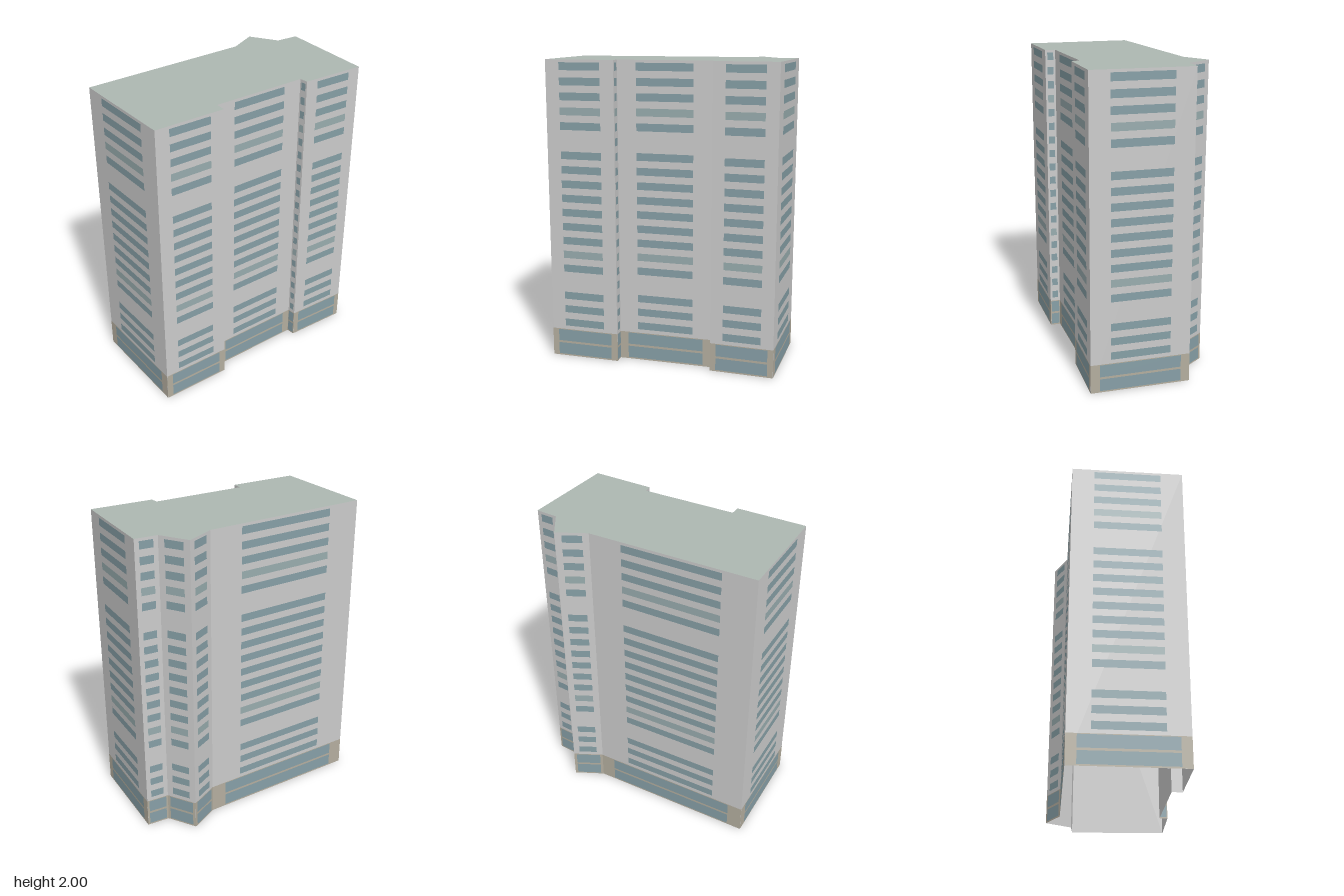
import * as THREE from 'three';
import { mergeGeometries } from 'three/addons/utils/BufferGeometryUtils.js';

const HEIGHT = 2;
const BASE_TOP = 0.19;
const FLOOR_PITCH = 0.0954;

// Footprint corners [x, z], anticlockwise as seen from above
const footprint = [
  [-0.607, 0.586], [-0.165, 0.448], [-0.185, 0.383], [0.412, 0.19], [0.435, 0.24], [0.837, 0.126],
  [0.66, -0.495], [0.517, -0.46], [0.357, -0.59], [0.208, -0.445], [-0.84, -0.09],
];

// Upright rectangle on the wall a-b, from fraction f0 to f1 of its length
function panel([ax, az], [bx, bz], f0, f1, y0, y1, offset = 0) {
  const dx = bx - ax, dz = bz - az;
  const length = Math.hypot(dx, dz);
  const mid = (f0 + f1) / 2;
  return new THREE.PlaneGeometry(length * (f1 - f0), y1 - y0)
    .translate(0, (y0 + y1) / 2, offset)
    .rotateY(Math.atan2(-dz, dx))
    .translate(ax + dx * mid, 0, az + dz * mid);
}

export function createModel() {
  const group = new THREE.Group();
  const add = (name, geometry, color, side = THREE.FrontSide) => {
    const mesh = new THREE.Mesh(geometry, new THREE.MeshStandardMaterial({ color, side }));
    mesh.name = name;
    group.add(mesh);
  };

  const walls = [], base = [], shopGlass = [], windows = [], paleWindows = [];
  footprint.forEach((a, i) => {
    const b = footprint[(i + 1) % footprint.length];
    const narrow = Math.hypot(b[0] - a[0], b[1] - a[1]) < 0.1;
    walls.push(panel(a, b, 0, 1, 0, HEIGHT));

    // Ground storey: surround with two bands of glazing
    base.push(panel(a, b, 0, 1, 0, BASE_TOP, 0.001));
    for (const y of [0.01, 0.105]) {
      shopGlass.push(panel(a, b, 0.09, 0.91, y, y + 0.08, 0.002));
    }

    // Window rows; wide walls have a blank storey every ten floors
    for (let k = 0; k < 19; k++) {
      if (k % 10 === 3 && !narrow) continue;
      const y = 0.24 + k * FLOOR_PITCH;
      const list = k % 10 === 5 ? paleWindows : windows;
      list.push(panel(a, b, 0.2, 0.8, y - 0.025, y + 0.025, 0.001));
    }
  });

  add('walls', mergeGeometries(walls), 0xcccccc, THREE.DoubleSide);
  add('groundStoreySurround', mergeGeometries(base), 0xb4ae9f);
  add('groundStoreyGlass', mergeGeometries(shopGlass), 0x879fa7);
  add('windows', mergeGeometries(windows), 0x869fa6);
  add('paleWindows', mergeGeometries(paleWindows), 0x98acae);

  // Flat roof; the underside of the shell stays open
  const outline = new THREE.Shape(footprint.map(([x, z]) => new THREE.Vector2(x, -z)));
  const roof = new THREE.ShapeGeometry(outline).rotateX(-Math.PI / 2).translate(0, HEIGHT, 0);
  add('roof', roof, 0xadb7b1, THREE.DoubleSide);

  return group;
}
